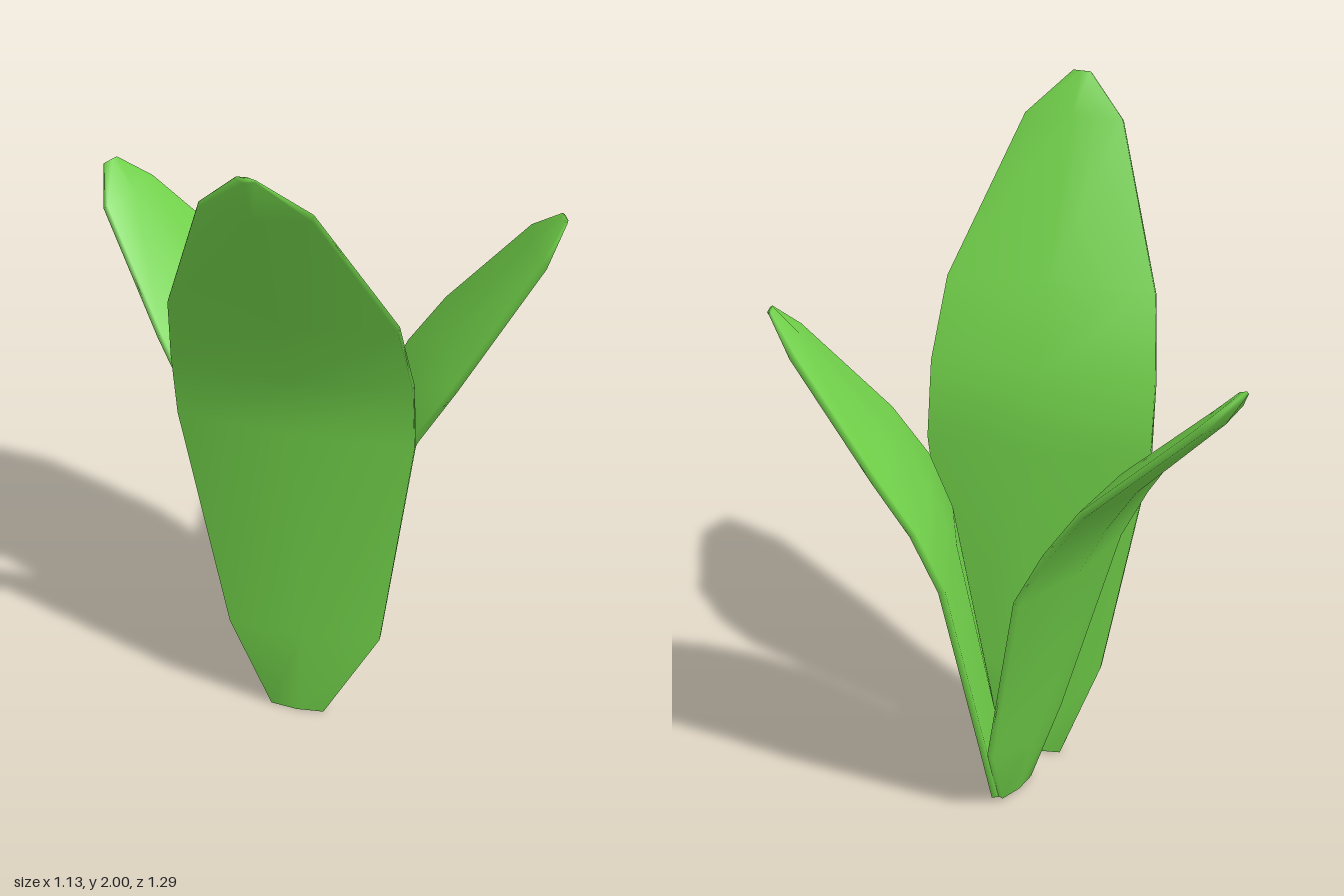
import * as THREE from 'three';

const green = new THREE.MeshStandardMaterial({ color: 0x70cf49 });
green.name = 'leafGreen';

// Each row of a leaf: [height, first edge x, z, second edge x, z], base to tip
const leaves = {
  backLeaf: [
    [0.005, 0.03, 0.115, 0.18, 0.10],
    [0.22, -0.07, 0.08, 0.29, 0.04],
    [0.80, -0.16, -0.07, 0.355, -0.12],
    [0.97, -0.16, -0.165, 0.345, -0.215],
    [1.12, -0.155, -0.27, 0.325, -0.32],
    [1.385, -0.05, -0.56, 0.17, -0.585],
    [1.465, 0.035, -0.64, 0.085, -0.64],
  ],
  tallLeaf: [
    [0, -0.075, 0.275, -0.14, 0.13],
    [0.30, -0.005, 0.42, -0.21, 0.03],
    [1.0, 0, 0.515, -0.27, -0.10],
    [1.22, -0.045, 0.535, -0.32, -0.075],
    [1.45, -0.14, 0.55, -0.40, -0.01],
    [1.88, -0.43, 0.495, -0.555, 0.235],
    [2.0, -0.545, 0.41, -0.56, 0.36],
  ],
  frontLeaf: [
    [0.005, 0.085, 0.20, 0.19, 0.11],
    [0.25, 0.015, 0.29, 0.30, 0.06],
    [0.80, 0.02, 0.42, 0.43, 0.085],
    [0.97, 0.06, 0.47, 0.47, 0.15],
    [1.125, 0.135, 0.54, 0.52, 0.24],
    [1.435, 0.385, 0.64, 0.56, 0.49],
    [1.525, 0.49, 0.635, 0.53, 0.60],
  ],
};

// Thin lens-shaped cross-sections joined from base to tip
function makeLeaf(rows) {
  const first = rows.map(r => new THREE.Vector3(r[1], r[0], r[2]));
  const second = rows.map(r => new THREE.Vector3(r[3], r[0], r[4]));
  const mid = first.map((p, i) => p.clone().lerp(second[i], 0.5));
  const positions = [];
  const index = [];
  const n = 6;
  const last = rows.length - 1;
  rows.forEach((_, i) => {
    const along = mid[Math.min(i + 1, last)].clone().sub(mid[Math.max(i - 1, 0)]);
    const chord = second[i].clone().sub(first[i]);
    const width = chord.length();
    const normal = chord.cross(along).normalize();
    const half = Math.min(0.033, 0.008 + width * 0.07);
    const edge = i === last ? 0.004 : 0.01;
    const ring = [
      [first[i], edge], [mid[i], half], [second[i], edge],
      [second[i], -edge], [mid[i], -half], [first[i], -edge],
    ];
    ring.forEach(([p, d]) => {
      const v = p.clone().addScaledVector(normal, d);
      positions.push(v.x, Math.min(2, Math.max(0, v.y)), v.z);
    });
    if (i === last) return;
    for (let k = 0; k < n; k++) {
      const a = i * n + k;
      const b = i * n + (k + 1) % n;
      index.push(a, b, b + n, a, b + n, a + n);
    }
  });
  // Close the base and the tip
  for (let k = 1; k < n - 1; k++) {
    index.push(0, k + 1, k);
    index.push(last * n, last * n + k, last * n + k + 1);
  }
  const geometry = new THREE.BufferGeometry();
  geometry.setAttribute('position', new THREE.Float32BufferAttribute(positions, 3));
  geometry.setIndex(index);
  geometry.computeVertexNormals();
  return geometry;
}

export function createModel() {
  const group = new THREE.Group();
  group.name = 'leafPlant';
  for (const [name, rows] of Object.entries(leaves)) {
    const leaf = new THREE.Mesh(makeLeaf(rows), green);
    leaf.name = name;
    group.add(leaf);
  }
  return group;
}
